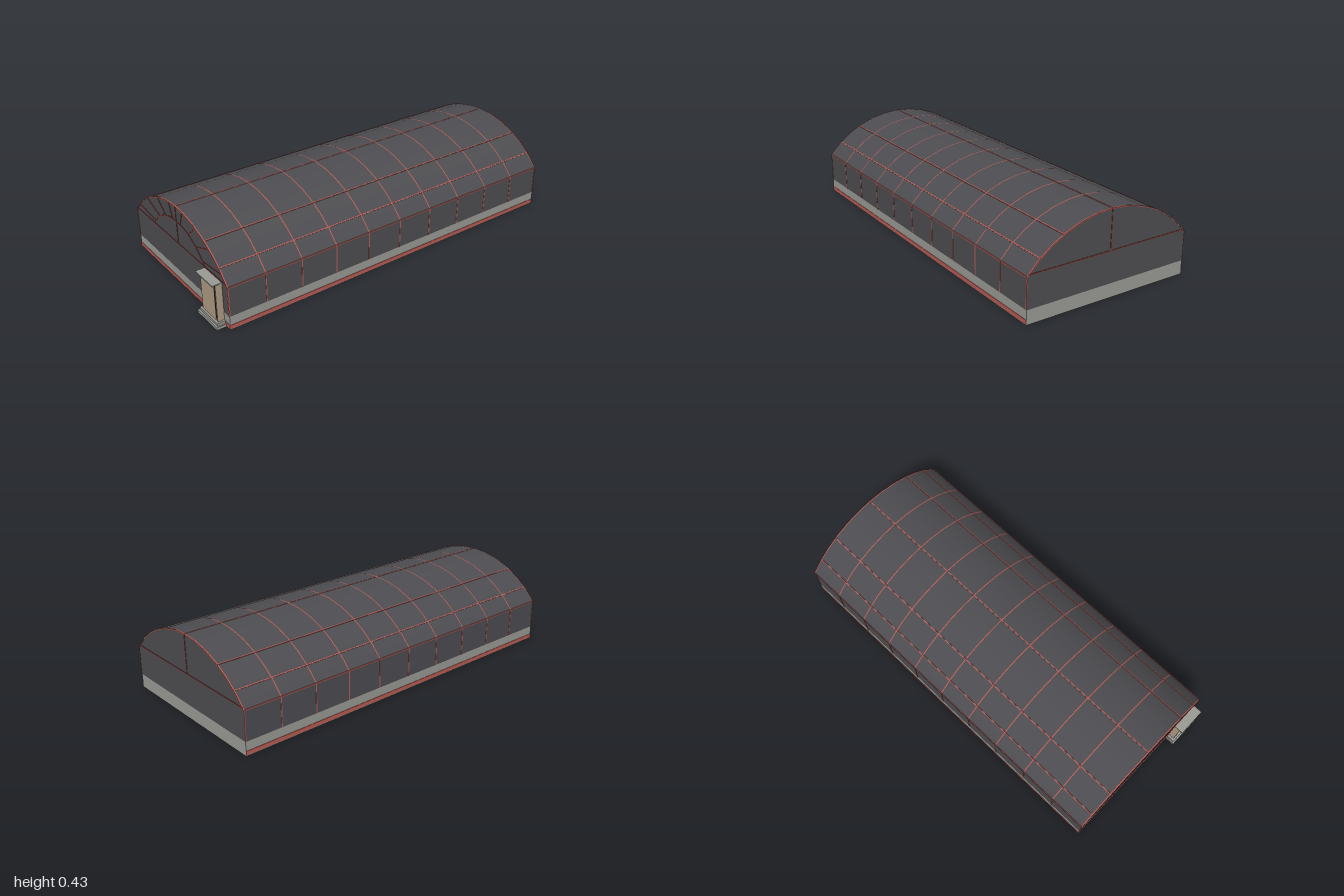
import * as THREE from 'three';

const mat = (name, color) => {
  const m = new THREE.MeshStandardMaterial({ color });
  m.name = name;
  return m;
};

export function createModel() {
  const group = new THREE.Group();
  const dark = mat('charcoal cladding', 0x4d4d51);
  const grey = mat('concrete grey', 0x999a94);
  const red = mat('brick red', 0xb85a52);
  const trim = mat('dark red trim', 0x7a3431);
  const tan = mat('tan door', 0xae9a83);
  const black = mat('dark handle', 0x2c2c2e);

  const W = 0.447, Z0 = -1, Z1 = 0.95, EAVE = 0.22, TOP = 0.428;
  const L = Z1 - Z0, ZC = (Z0 + Z1) / 2;

  // Roof arc: radius, centre height and half angle from width and rise
  const rise = TOP - EAVE;
  const R = (W * W + rise * rise) / (2 * rise);
  const CY = TOP - R;
  const HALF = Math.asin(W / R);
  const SEG = 12;

  const add = (name, geo, material, x = 0, y = 0, z = 0) => {
    const mesh = new THREE.Mesh(geo, material);
    mesh.name = name;
    mesh.position.set(x, y, z);
    group.add(mesh);
    return mesh;
  };
  // Box given by its limits on each axis
  const box = (name, m, x0, x1, y0, y1, z0, z1) =>
    add(name, new THREE.BoxGeometry(x1 - x0, y1 - y0, z1 - z0), m,
      (x0 + x1) / 2, (y0 + y1) / 2, (z0 + z1) / 2);
  // Thin flat bar between two points of an end wall
  const bar = (name, m, ax, ay, bx, by, z, w = 0.004) => {
    const mesh = add(name, new THREE.BoxGeometry(Math.hypot(bx - ax, by - ay), w, 0.004), m,
      (ax + bx) / 2, (ay + by) / 2, z);
    mesh.rotation.z = Math.atan2(by - ay, bx - ax);
  };
  // Open vault with its axis along z
  const vault = (r, length) =>
    new THREE.CylinderGeometry(r, r, length, SEG, 1, true, -HALF, 2 * HALF).rotateX(-Math.PI / 2);
  const arcPoint = (r, cy, a) => [r * Math.sin(a), cy + r * Math.cos(a)];

  // Plinth, painted band on the front and sides, and walls
  box('plinth', grey, -W, W, 0, 0.07, Z0, Z1);
  box('frontBand', red, -W - 0.001, W + 0.001, 0.005, 0.025, Z1 - 0.002, Z1 + 0.002);
  box('walls', dark, -W, W, 0.07, EAVE, Z0, Z1);
  add('roof', vault(R, L), dark, 0, CY, ZC);

  // Gable ends
  const gable = new THREE.Shape();
  for (let i = 0; i <= SEG; i++) {
    const [x, y] = arcPoint(R, CY, -HALF + (2 * HALF * i) / SEG);
    if (i) gable.lineTo(x, y); else gable.moveTo(x, y);
  }
  add('frontGable', new THREE.ShapeGeometry(gable), dark, 0, 0, Z1);
  add('backGable', new THREE.ShapeGeometry(gable), dark, 0, 0, Z0).rotation.y = Math.PI;

  // Roof ribs running down the side walls
  const RIBS = 10;
  for (let i = 0; i <= RIBS; i++) {
    const z = THREE.MathUtils.clamp(Z0 + (L * i) / RIBS, Z0 + 0.002, Z1 - 0.002);
    add('roofRib', vault(R + 0.0015, 0.005), red, 0, CY, z);
    for (const s of [-1, 1]) {
      add('wallRib', new THREE.BoxGeometry(0.003, EAVE - 0.07, 0.005), red, s * W, (EAVE + 0.07) / 2, z);
    }
  }

  // Purlins along the roof, eaves and side bands
  for (const x of [-0.38, -0.26, 0, 0.26, 0.38]) {
    const a = Math.asin(x / R);
    const [px, py] = arcPoint(R - 0.001, CY, a);
    add('purlin', new THREE.BoxGeometry(0.005, 0.005, L), red, px, py, ZC).rotation.z = -a;
  }
  for (const s of [-1, 1]) {
    add('eaveLine', new THREE.BoxGeometry(0.004, 0.005, L), red, s * W, EAVE, ZC);
    add('sideBand', new THREE.BoxGeometry(0.004, 0.02, L), red, s * W, 0.015, ZC);
    box('cornerLine', red, s * (W - 0.002) - 0.002, s * (W - 0.002) + 0.002, 0.07, EAVE, Z1 - 0.001, Z1 + 0.002);
  }

  // Tie beam, king post and edge arch on both ends
  for (const z of [Z1, Z0]) {
    bar('tieBeam', trim, -W + 0.008, 0.229, W - 0.008, 0.229, z, 0.005);
    bar('kingPost', trim, 0, 0.231, 0, TOP - 0.001, z, 0.005);
    for (let i = 0; i < SEG; i++) {
      const a = -HALF + (2 * HALF * i) / SEG, b = a + (2 * HALF) / SEG;
      bar('edgeArch', red, ...arcPoint(R - 0.001, CY, a), ...arcPoint(R - 0.001, CY, b), z, 0.004);
    }
  }

  // Inner arch and spokes on the front
  const r2 = 0.318, cy2 = 0.032, half2 = Math.asin(0.255 / r2);
  for (let i = 0; i < 16; i++) {
    const a = -half2 + (2 * half2 * i) / 16, b = a + (2 * half2) / 16;
    bar('innerArch', trim, ...arcPoint(r2, cy2, a), ...arcPoint(r2, cy2, b), Z1, 0.005);
  }
  const spokes = [
    [0.23, 0.248, 0.402, 0.265], [0.178, 0.297, 0.302, 0.342],
    [0.108, 0.331, 0.185, 0.396], [0.038, 0.348, 0.064, 0.421],
  ];
  for (const s of [-1, 1]) {
    for (const [ax, ay, bx, by] of spokes) bar('spoke', trim, s * ax, ay, s * bx, by, Z1, 0.005);
  }

  // Entrance: steps, door, side panels and canopy
  box('lowerStep', grey, 0.24, 0.415, 0, 0.015, Z1, 1);
  box('upperStep', grey, 0.247, 0.408, 0.015, 0.029, Z1, 0.992);
  box('door', tan, 0.26, 0.38, 0.029, 0.221, Z1, 0.982);
  box('doorSurround', grey, 0.38, 0.394, 0.029, 0.221, Z1, 0.979);
  box('doorJamb', tan, 0.394, 0.398, 0.029, 0.221, Z1, 0.984);
  box('doorEdge', black, 0.38, 0.383, 0.04, 0.218, 0.979, 0.982);
  box('doorHandle', black, 0.385, 0.389, 0.106, 0.116, 0.979, 0.985);
  box('canopy', grey, 0.25, 0.402, 0.221, 0.227, Z1, 1);

  return group;
}
